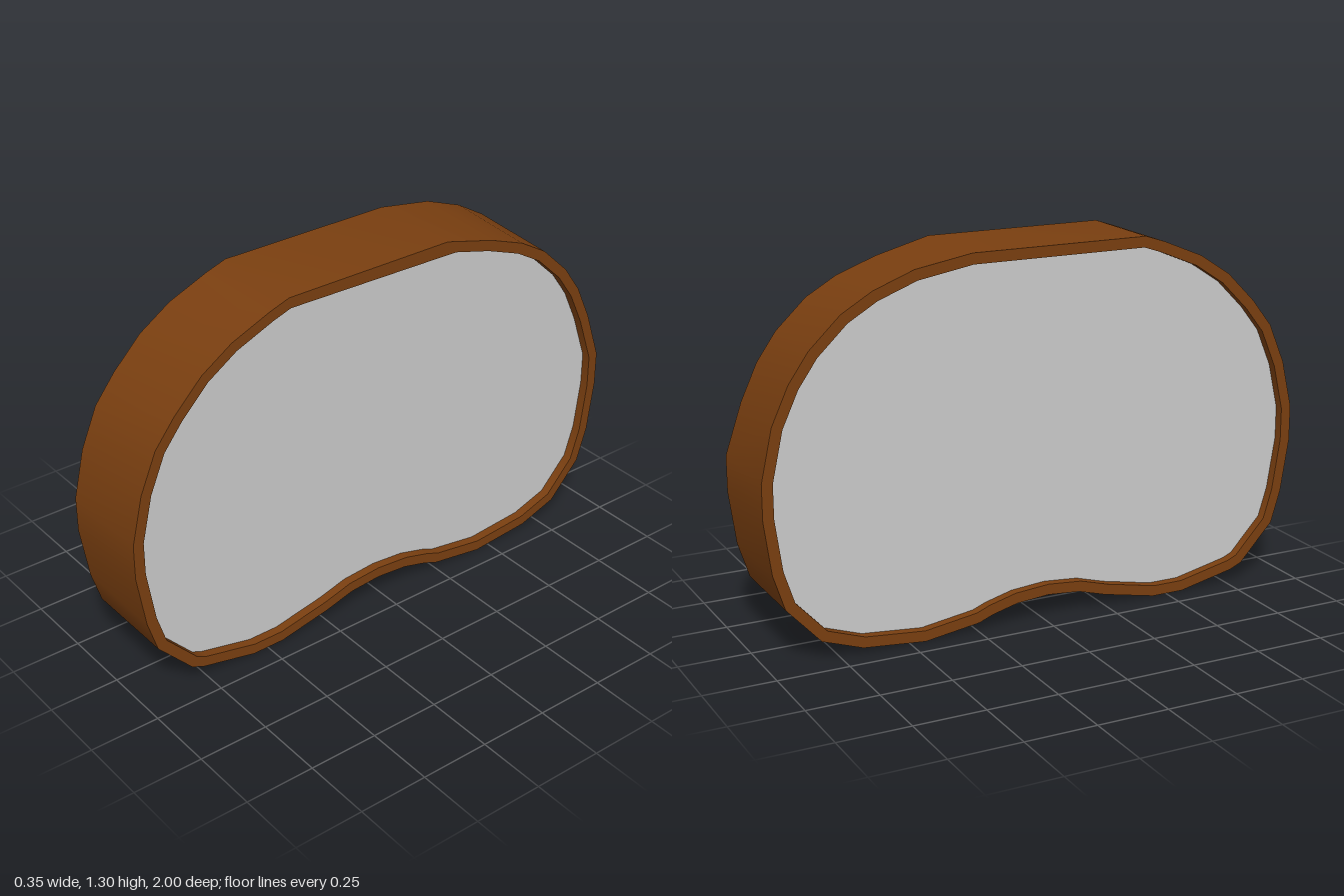
import * as THREE from 'three';
import { toCreasedNormals } from 'three/addons/utils/BufferGeometryUtils.js';

const WIDTH = 0.346, RIM = 0.038, RECESS = 0.033;

// Side outline as [z, y], running from the top front round the bottom to the top back
const OUTLINE = [
  [0.385, 1.305], [0.46, 1.28], [0.605, 1.22], [0.72, 1.145], [0.825, 1.04], [0.9, 0.945],
  [0.96, 0.805], [1, 0.635], [1, 0.51], [0.97, 0.32], [0.935, 0.205], [0.81, 0.07],
  [0.765, 0.05], [0.56, 0.005], [0.44, 0.005], [0.245, 0.045], [0.14, 0.075], [0.02, 0.085],
  [-0.1, 0.075], [-0.195, 0.05], [-0.245, 0.03], [-0.445, 0], [-0.67, 0.02], [-0.815, 0.07],
  [-0.935, 0.2], [-0.975, 0.325], [-1, 0.51], [-1, 0.635], [-0.96, 0.815], [-0.9, 0.945],
  [-0.83, 1.045], [-0.72, 1.15], [-0.61, 1.215], [-0.465, 1.27], [-0.26, 1.305],
].map(([z, y]) => new THREE.Vector2(-z, y)); // counter-clockwise in the shape plane

// Mitred inward offset of a closed counter-clockwise loop
function inset(points, distance) {
  const n = points.length;
  const normal = (a, b) => new THREE.Vector2(a.y - b.y, b.x - a.x).normalize();
  return points.map((p, i) => {
    const n1 = normal(points[(i + n - 1) % n], p);
    const n2 = normal(p, points[(i + 1) % n]);
    const mitre = n1.clone().add(n2).normalize();
    return p.clone().addScaledVector(mitre, distance / mitre.dot(n1));
  });
}

// Extrude along x, centred, with the upper back curve pulled in a little on the +x side
function slab(shape, width) {
  const geo = new THREE.ExtrudeGeometry(shape, { depth: width, bevelEnabled: false });
  geo.translate(0, 0, -width / 2).rotateY(Math.PI / 2);
  const pos = geo.attributes.position;
  for (let i = 0; i < pos.count; i++) {
    const y = pos.getY(i), z = pos.getZ(i);
    if (pos.getX(i) > 0 && y > 0.7 && z < -0.35) {
      const r = Math.hypot(y - 0.6, z);
      pos.setY(i, y - 0.02 * (y - 0.6) / r);
      pos.setZ(i, z - 0.02 * z / r);
    }
  }
  return toCreasedNormals(geo, 0.8);
}

export function createModel() {
  const group = new THREE.Group();
  group.name = 'kidneyShapedPanel';
  const inner = inset(OUTLINE, RIM);

  // Brown band around the edge
  const bandShape = new THREE.Shape(OUTLINE);
  bandShape.holes.push(new THREE.Path(inner));
  const band = new THREE.Mesh(slab(bandShape, WIDTH),
    new THREE.MeshStandardMaterial({ color: 0x7a3f10 }));
  band.name = 'rimBand';

  // Grey core, set back from the rim on both sides
  const core = new THREE.Mesh(slab(new THREE.Shape(inner), WIDTH - 2 * RECESS),
    new THREE.MeshStandardMaterial({ color: 0xcccccc }));
  core.name = 'recessedPanel';

  group.add(band, core);
  return group;
}
